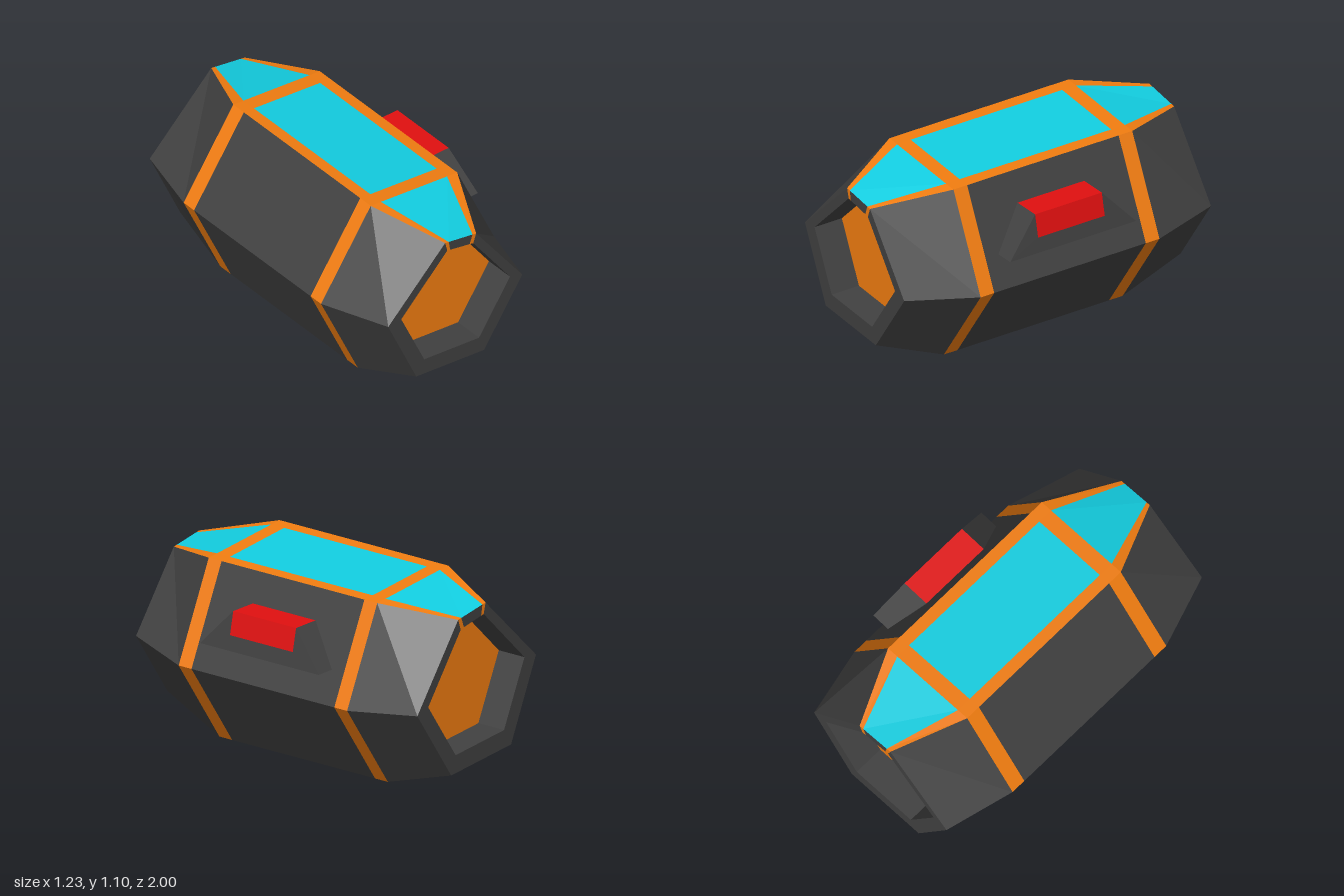
import * as THREE from 'three';

const material = (color) => new THREE.MeshStandardMaterial({ color, flatShading: true });

// Collects flat polygons (corners counter-clockwise from outside) into one mesh.
class Faces {
  constructor(name, mat) { this.name = name; this.mat = mat; this.pos = []; }
  add(...corners) {
    for (let i = 1; i < corners.length - 1; i++) {
      this.pos.push(...corners[0], ...corners[i], ...corners[i + 1]);
    }
  }
  mesh() {
    const g = new THREE.BufferGeometry();
    g.setAttribute('position', new THREE.Float32BufferAttribute(this.pos, 3));
    g.computeVertexNormals();
    const m = new THREE.Mesh(g, this.mat);
    m.name = this.name;
    return m;
  }
}

// Cross-sections: the top side is split in three (edge strip, window, edge strip).
const BODY = [[-0.27, 1.1], [-0.2, 1.094], [0.26, 1.051], [0.33, 1.045],
  [0.585, 0.497], [0.24, 0], [-0.36, 0.055], [-0.615, 0.602]];
const RIM = [[-0.085, 1.0], [-0.06, 0.996], [0.105, 0.969], [0.13, 0.965],
  [0.45, 0.54], [0.185, 0.157], [-0.285, 0.197], [-0.48, 0.62]];
const INNER = [[-0.07, 0.943], [-0.05, 0.939], [0.085, 0.914], [0.11, 0.908],
  [0.365, 0.565], [0.15, 0.255], [-0.23, 0.287], [-0.39, 0.63]];

// The back end is slightly wider than the front end.
const widen = (ring) => ring.map(([x, y]) => [x * 1.08, 0.67 + (y - 0.67) * 1.08]);
const at = (ring, z) => ring.map(([x, y]) => [x, y, z]);

export function createModel() {
  const dark = material(0x404040), orange = material(0xf07c10);
  const cyan = material(0x12cde0), red = material(0xe01010);
  const group = new THREE.Group();

  const shell = new Faces('shell', dark);
  const trim = new Faces('trimBands', orange);
  const glass = new Faces('topWindows', cyan);
  const panels = new Faces('endPanels', orange);

  // Stations from the back recess to the front recess.
  const depth = 0.18;
  const rings = [
    at(widen(INNER), -1 + depth), at(widen(INNER), -1), at(widen(RIM), -1),
    at(BODY, -0.59), at(BODY, -0.5), at(BODY, 0.5), at(BODY, 0.59),
    at(RIM, 1), at(INNER, 1), at(INNER, 1 - depth),
  ];
  const bands = [3, 5], windows = [2, 4, 6], recessWalls = [0, 8];
  for (let s = 0; s < rings.length - 1; s++) {
    const a = rings[s], b = rings[s + 1];
    for (let i = 0; i < 8; i++) {
      const j = (i + 1) % 8;
      const strip = (i === 0 || i === 2) && !recessWalls.includes(s);
      let target = shell;
      if (bands.includes(s) || strip) target = trim;
      else if (i === 1 && windows.includes(s)) target = glass;
      target.add(b[i], b[j], a[j], a[i]);
    }
  }

  // Recessed end panels
  panels.add(...rings[0]);
  panels.add(...[...rings[rings.length - 1]].reverse());
  group.add(shell.mesh(), trim.mesh(), glass.mesh(), panels.mesh());

  // Wedge-shaped side housing with a red switch on its upper part
  const housing = new Faces('sideHousing', dark);
  const button = new Faces('sideSwitch', red);
  const topIn = [0.4, 0.885], topOut = [0.57, 0.885], midOut = [0.598, 0.755];
  const lowIn = [0.495, 0.672], lowOut = [0.615, 0.672];
  const f = (p, z) => [...p, z];
  const n = 0.22, w = 0.415;
  button.add(f(topIn, n), f(topOut, n), f(topOut, -n), f(topIn, -n));
  button.add(f(topOut, n), f(midOut, n), f(midOut, -n), f(topOut, -n));
  housing.add(f(midOut, n), f(lowOut, w), f(lowOut, -w), f(midOut, -n));
  housing.add(f(topOut, n), f(lowOut, w), f(midOut, n));
  housing.add(f(topOut, -n), f(midOut, -n), f(lowOut, -w));
  housing.add(f(topIn, n), f(lowIn, w), f(lowOut, w), f(topOut, n));
  housing.add(f(topIn, -n), f(topOut, -n), f(lowOut, -w), f(lowIn, -w));
  housing.add(f(lowIn, w), f(lowIn, -w), f(lowOut, -w), f(lowOut, w));
  group.add(housing.mesh(), button.mesh());

  return group;
}
